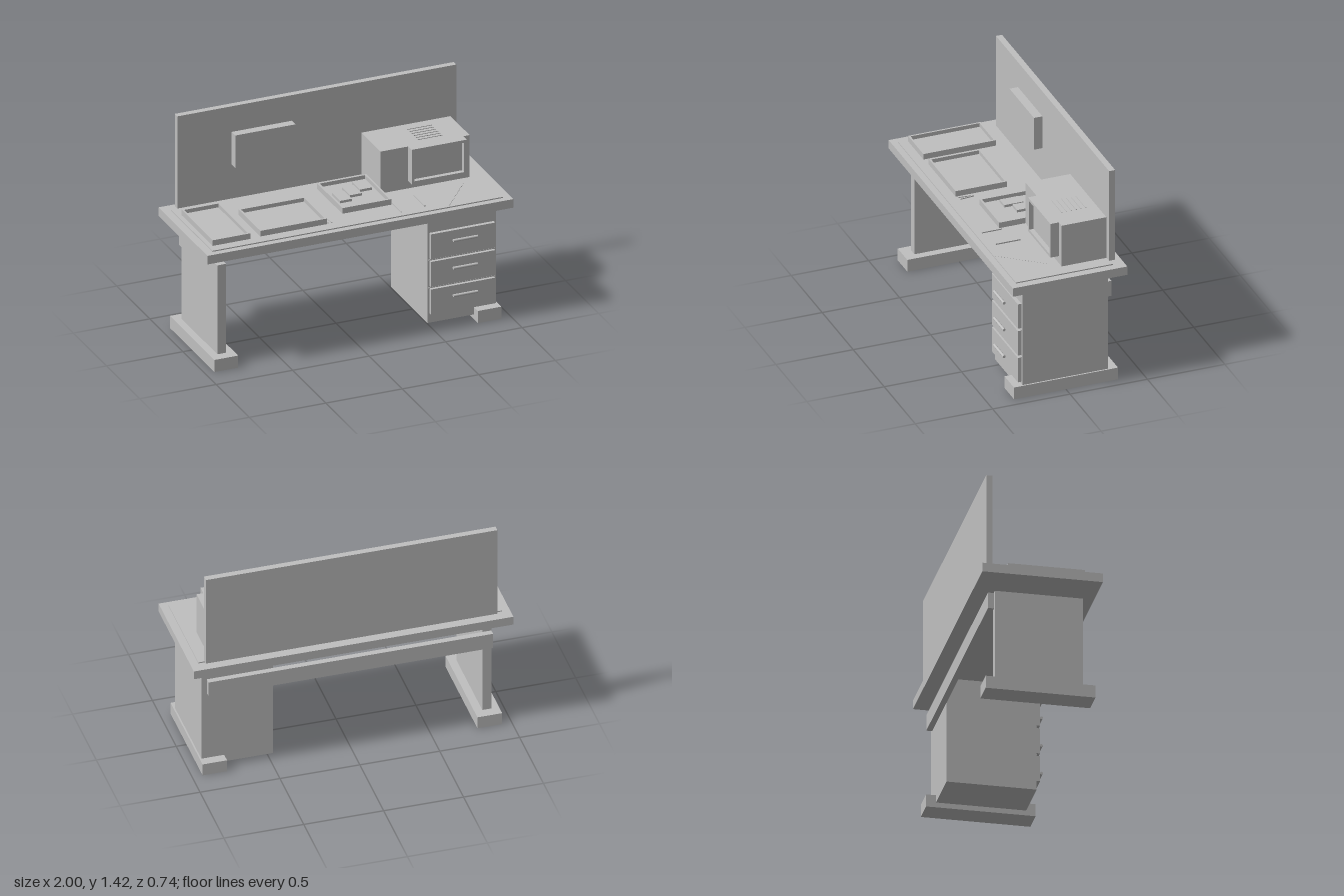
import * as THREE from 'three';

export function createModel() {
  const desk = new THREE.Group();
  desk.name = 'workDesk';
  const grey = new THREE.MeshStandardMaterial({ color: 0xc0c0c0 });
  grey.name = 'plain grey';

  // Box given by its limits on each axis
  const box = (name, x0, x1, y0, y1, z0, z1, parent = desk) => {
    const mesh = new THREE.Mesh(new THREE.BoxGeometry(x1 - x0, y1 - y0, z1 - z0), grey);
    mesh.position.set((x0 + x1) / 2, (y0 + y1) / 2, (z0 + z1) / 2);
    mesh.name = name;
    parent.add(mesh);
    return mesh;
  };

  // Rectangular frame with an opening, standing in the XY plane
  const frame = (name, w, h, depth, wall) => {
    const s = new THREE.Shape();
    s.moveTo(-w / 2, -h / 2).lineTo(w / 2, -h / 2).lineTo(w / 2, h / 2).lineTo(-w / 2, h / 2).closePath();
    const a = w / 2 - wall, b = h / 2 - wall;
    const hole = new THREE.Path();
    hole.moveTo(-a, -b).lineTo(-a, b).lineTo(a, b).lineTo(a, -b).closePath();
    s.holes.push(hole);
    const mesh = new THREE.Mesh(new THREE.ExtrudeGeometry(s, { depth, bevelEnabled: false }), grey);
    mesh.name = name;
    return mesh;
  };

  // Table top, mat and back panel
  box('tableTop', -1, 1, 0.74, 0.797, -0.37, 0.37);
  box('deskMat', -0.95, 0.95, 0.797, 0.804, -0.297, 0.33);
  box('backPanel', -0.912, 0.912, 0.808, 1.42, -0.327, -0.288);
  box('noticeBoard', -0.557, -0.163, 1.033, 1.25, -0.288, -0.233);

  // Supports
  box('leftFoot', -0.94, -0.785, 0, 0.08, -0.336, 0.336);
  box('rightFoot', 0.782, 0.935, 0, 0.08, -0.336, 0.336);
  box('leftLeg', -0.892, -0.835, 0.08, 0.67, -0.27, 0.27);
  box('rearBeam', -0.89, 0.89, 0.553, 0.655, -0.312, -0.275);

  // Drawer cabinet
  box('cabinet', 0.478, 0.925, 0.032, 0.715, -0.276, 0.277);
  for (let i = 0; i < 3; i++) {
    const y = 0.545 - i * 0.183;
    box('drawerFront', 0.49, 0.91, y - 0.083, y + 0.083, 0.277, 0.301);
    if (i < 2) box('drawerGap', 0.482, 0.917, y - 0.1, y - 0.094, 0.277, 0.281);
    const handle = new THREE.Mesh(new THREE.CylinderGeometry(0.009, 0.009, 0.16, 16), grey);
    handle.name = 'drawerHandle';
    handle.rotation.z = Math.PI / 2;
    handle.position.set(0.7, y + 0.033, 0.337);
    desk.add(handle);
  }

  // Open trays
  const tray = (name, x0, x1, z0, z1) => {
    const g = new THREE.Group();
    g.name = name;
    const rim = frame('trayRim', x1 - x0, z1 - z0, 0.037, 0.012);
    rim.rotation.x = -Math.PI / 2;
    rim.position.set((x0 + x1) / 2, 0.808, (z0 + z1) / 2);
    g.add(rim);
    box('trayFloor', x0 + 0.012, x1 - 0.012, 0.808, 0.82, z0 + 0.012, z1 - 0.012, g);
    desk.add(g);
    return g;
  };
  tray('leftTray', -0.925, -0.678, -0.195, 0.275);
  tray('middleTray', -0.61, -0.175, -0.065, 0.268);
  const partsTray = tray('partsTray', -0.033, 0.288, -0.21, 0.172);
  for (let i = 0; i < 3; i++) {
    const x = 0.003 + i * 0.086, z = -0.067 - i * 0.049;
    box('partBlock', x, x + 0.077, 0.82, 0.836, z, z + 0.123, partsTray);
  }

  // Instrument cabinet with a framed screen
  const unit = new THREE.Group();
  unit.name = 'instrument';
  desk.add(unit);
  box('instrumentBody', 0.29, 0.872, 0.808, 1.086, -0.286, 0.003, unit);
  const bezel = frame('screenFrame', 0.36, 0.23, 0.056, 0.018);
  bezel.position.set(0.65, 0.973, 0.003);
  unit.add(bezel);
  box('screen', 0.488, 0.812, 0.876, 1.07, 0.003, 0.03, unit);
  for (let i = 0; i < 6; i++) {
    const z = -0.06 - i * 0.031;
    box('ventSlat', 0.56, 0.72, 1.086, 1.09, z - 0.003, z + 0.003, unit);
  }

  // Small hand tools
  box('probe', 0.298, 0.304, 0.804, 0.811, 0.16, 0.29);
  box('screwdriver', 0.461, 0.469, 0.804, 0.812, 0.108, 0.267);
  for (const side of [-1, 1]) {
    const arm = box('tweezerArm', -0.003, 0.003, 0.804, 0.81, -0.047, 0.047);
    arm.position.set(-0.15 + side * 0.008, 0.807, 0.208);
    arm.rotation.y = side * 0.1;
  }

  // Row of tiny pins
  for (let i = 0; i < 18; i++) {
    const t = i / 17, x = 0.6 + 0.2 * t, z = 0.32 - 0.25 * t;
    box('pin', x - 0.002, x + 0.002, 0.804, 0.808, z - 0.002, z + 0.002);
  }
  return desk;
}
